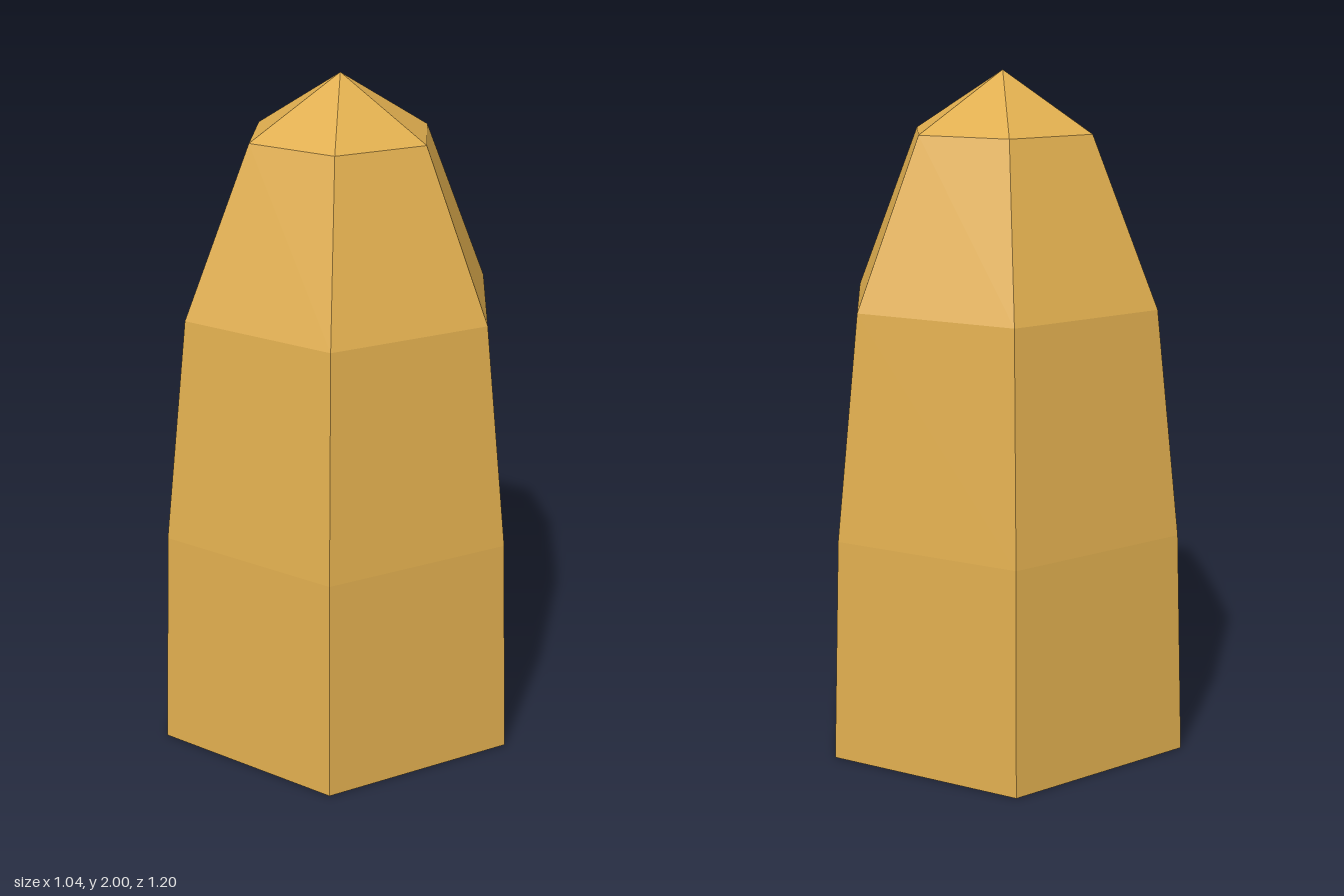
import * as THREE from 'three';

export function createModel() {
  const group = new THREE.Group();
  group.name = 'hexagonalTip';

  const brass = new THREE.MeshStandardMaterial({ color: 0xdfad4e, flatShading: true });
  brass.name = 'brass';

  // Corner radius and height, from the centre of the closed base up to the point
  const profile = [
    [0, 0], [0.6, 0], [0.573, 0.67], [0.495, 1.335], [0.286, 1.825], [0, 2],
  ].map(([r, y]) => new THREE.Vector2(r, y));

  // Six-sided tapering body with corners facing front and back
  const body = new THREE.Mesh(new THREE.LatheGeometry(profile, 6), brass);
  body.name = 'body';
  group.add(body);

  return group;
}
